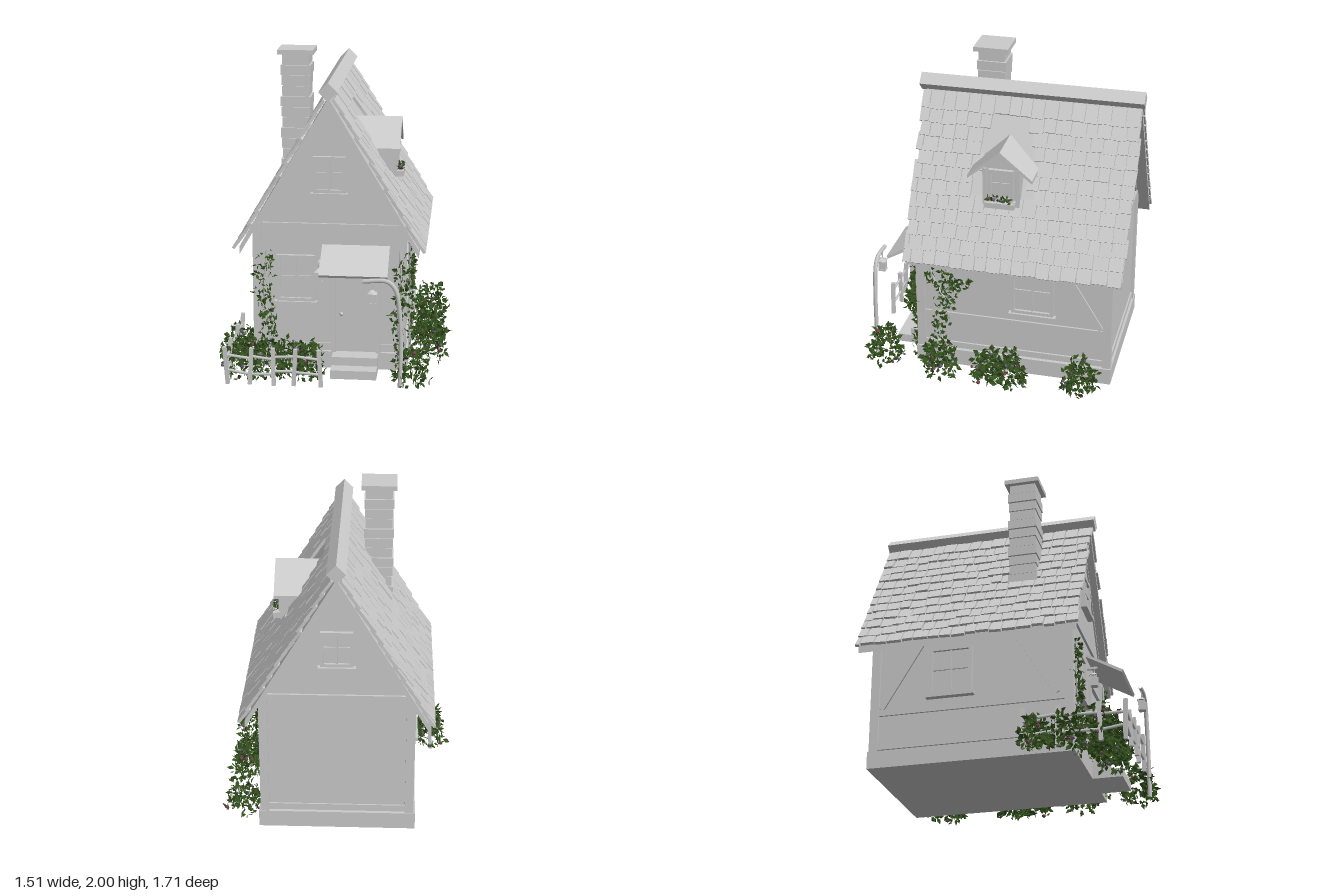
import * as THREE from 'three';
import { mergeGeometries } from 'three/addons/utils/BufferGeometryUtils.js';

const grey = new THREE.MeshStandardMaterial({ color: 0xcccccc });
const leafMat = new THREE.MeshStandardMaterial({ color: 0x35521f, side: THREE.DoubleSide });
const bloomMats = [0x6b5a80, 0x7d4256].map(color => new THREE.MeshStandardMaterial({ color }));

let seed = 7;
const rand = () => (seed = (seed * 16807) % 2147483647) / 2147483647;
const spread = a => (rand() * 2 - 1) * a;

function add(parent, name, geo, x = 0, y = 0, z = 0, mat = grey) {
  const m = new THREE.Mesh(geo, mat);
  m.name = name;
  m.position.set(x, y, z);
  parent.add(m);
  return m;
}
const box = (p, name, w, h, d, x, y, z) => add(p, name, new THREE.BoxGeometry(w, h, d), x, y, z);
function group(parent, name, x = 0, y = 0, z = 0) {
  const g = new THREE.Group();
  g.name = name;
  g.position.set(x, y, z);
  parent.add(g);
  return g;
}
function extrude(points, depth, hole) {
  const s = new THREE.Shape(points.map(p => new THREE.Vector2(...p)));
  if (hole) s.holes.push(new THREE.Path(hole.map(p => new THREE.Vector2(...p))));
  return new THREE.ExtrudeGeometry(s, { depth, bevelEnabled: false });
}
// Inverted V of vertical thickness t, used for roofs and gable trims
const chevron = (half, apex, eave, t, depth) => extrude(
  [[half, eave], [0, apex], [-half, eave], [-half, eave - t], [0, apex - t], [half, eave - t]], depth);
const rect = (w, h) => [[-w / 2, -h / 2], [w / 2, -h / 2], [w / 2, h / 2], [-w / 2, h / 2]];
const tube = (pts, r, n = 20) => new THREE.TubeGeometry(
  new THREE.CatmullRomCurve3(pts.map(p => new THREE.Vector3(...p))), n, r, 6);

function windowUnit(parent, name, w, h, x, y, z, turn = 0) {
  const g = group(parent, name, x, y, z);
  g.rotation.y = turn;
  add(g, 'windowFrame', extrude(rect(w, h), 0.03, rect(w - 0.045, h - 0.045)), 0, 0, -0.005);
  box(g, 'windowPane', w - 0.04, h - 0.04, 0.01, 0, 0, 0.003);
  box(g, 'mullion', 0.012, h - 0.04, 0.014, 0, 0, 0.01);
  box(g, 'glazingBar', w - 0.04, 0.012, 0.014, 0, 0.01, 0.01);
  box(g, 'windowSill', w + 0.03, 0.025, 0.05, 0, -h / 2 - 0.01, 0.015);
}

function lantern(parent, x, y, z) {
  const g = group(parent, 'lantern', x, y, z);
  box(g, 'lanternGlass', 0.034, 0.06, 0.034, 0, 0, 0);
  for (const a of [-1, 1]) for (const b of [-1, 1]) box(g, 'lanternBar', 0.007, 0.064, 0.007, a * 0.018, 0, b * 0.018);
  box(g, 'lanternBase', 0.046, 0.01, 0.046, 0, -0.034, 0);
  add(g, 'lanternCap', new THREE.ConeGeometry(0.04, 0.025, 4).rotateY(Math.PI / 4), 0, 0.044, 0);
  add(g, 'lanternHook', new THREE.CylinderGeometry(0.004, 0.004, 0.05, 6), 0, 0.07, 0);
}

// Small folded leaf, scattered at random angles
const leaf = new THREE.BufferGeometry();
leaf.setAttribute('position', new THREE.Float32BufferAttribute(
  [0, 0, 0, 0.3, 0.45, 0.12, 0, 1, 0, 0, 0, 0, 0, 1, 0, -0.3, 0.45, 0.12], 3));
leaf.computeVertexNormals();
function foliage(parent, name, count, size, sample, blooms = 0) {
  const g = group(parent, name);
  const scatter = (base, n, scale) => mergeGeometries(Array.from({ length: n }, () => {
    const p = sample(), s = scale * (0.7 + rand() * 0.6);
    const q = new THREE.Quaternion().setFromEuler(new THREE.Euler(spread(3.1), spread(3.1), spread(3.1)));
    p.y = Math.max(p.y, s);
    return base.clone().applyMatrix4(new THREE.Matrix4().compose(p, q, new THREE.Vector3(s, s, s)));
  }));
  add(g, 'leaves', scatter(leaf, count, size), 0, 0, 0, leafMat);
  if (blooms) bloomMats.forEach(m => add(g, 'blossoms', scatter(new THREE.IcosahedronGeometry(1, 0), blooms, 0.011), 0, 0, 0, m));
}
function bush(parent, x, z, r, h) {
  foliage(parent, 'bush', 190, 0.042, () => {
    const a = rand() * Math.PI * 2, up = rand(), k = 0.55 + 0.45 * rand(), c = Math.sqrt(1 - up * up * 0.8);
    return new THREE.Vector3(x + Math.cos(a) * r * c * k, 0.02 + h * up * (0.6 + 0.4 * k), z + Math.sin(a) * r * c * k);
  }, 4);
}
function ivy(parent, pts, count, w, thin) {
  const curve = new THREE.CatmullRomCurve3(pts.map(p => new THREE.Vector3(...p)));
  add(parent, 'ivyStem', tube(pts, 0.007));
  foliage(parent, 'ivyLeaves', count, 0.036, () => {
    const p = curve.getPoint(rand()), d = new THREE.Vector3(spread(w), spread(0.03), spread(w));
    d[thin] = rand() * 0.02;
    return p.add(d);
  });
}

function buildWalls(h) {
  box(h, 'foundation', 0.98, 0.11, 1.285, 0, 0.075, -0.135);
  box(h, 'walls', 0.93, 0.83, 1.24, 0, 0.545, -0.135);
  add(h, 'gableWall', extrude([[-0.45, 0.95], [0.45, 0.95], [0, 1.72]], 1.24), 0, 0, -0.755);
  for (const z of [0.475, -0.745]) {
    for (const s of [-1, 1]) box(h, 'cornerPost', 0.055, 0.83, 0.055, s * 0.452, 0.545, z);
    box(h, 'crossBeam', 0.95, 0.035, 0.05, 0, 0.943, z);
    box(h, 'bottomBeam', 0.9, 0.04, 0.04, 0, 0.16, z);
    add(h, 'gableTrim', chevron(0.47, 1.73, 0.93, 0.05, 0.04), 0, 0, z - 0.02);
  }
  // Side timbers, mirrored
  for (const s of [-1, 1]) {
    const x = s * 0.46;
    for (const [y, t] of [[0.16, 0.04], [0.38, 0.04], [0.92, 0.04]]) box(h, 'sideBeam', 0.035, t, 1.2, x, y, -0.135);
    for (const [z, tilt] of [[0.245, -0.545], [-0.55, 0.545]])
      box(h, 'diagonalBrace', 0.033, 0.6, 0.035, x, 0.66, z).rotation.x = tilt;
    windowUnit(h, 'sideWindow', 0.275, 0.31, s * 0.465, 0.62, -0.262, s * Math.PI / 2);
  }
  windowUnit(h, 'frontWindow', 0.24, 0.3, -0.21, 0.605, 0.485);
  windowUnit(h, 'frontGableWindow', 0.2, 0.23, 0, 1.27, 0.485);
  windowUnit(h, 'backGableWindow', 0.2, 0.23, 0, 1.27, -0.755, Math.PI);
}

function buildRoof(h) {
  add(h, 'roofDeck', chevron(0.555, 1.755, 0.815, 0.05, 1.38), 0, 0, -0.84);
  const slope = Math.atan2(0.97, 0.57), tiles = [];
  for (const s of [-1, 1]) for (let row = 0; row < 12; row++) {
    const t = 0.0895 * (row + 1), y = 1.765 - t * Math.sin(slope);
    for (let z = -0.85 + spread(0.01); z < 0.53;) {
      const w = Math.min(0.065 + rand() * 0.035, 0.555 - z), mid = z + w / 2;
      z += w;
      // Leave bare deck around the dormer
      if (s > 0 && row > 0 && row < 7 && Math.abs(mid + 0.035) < (row < 3 ? 0.15 : 0.17)) continue;
      const g = new THREE.BoxGeometry(0.115, 0.018, w - 0.006);
      g.rotateX(spread(0.03)).rotateY(spread(0.04)).rotateZ(-slope + 0.1);
      g.translate(t * Math.cos(slope) + 0.014, y + 0.008 + spread(0.006), mid);
      if (s < 0) g.rotateY(Math.PI).translate(0, 0, -0.295);
      tiles.push(g);
    }
  }
  add(h, 'roofTiles', mergeGeometries(tiles));
  box(h, 'ridgeCap', 0.082, 0.082, 1.43, 0, 1.793, -0.142).rotation.z = Math.PI / 4;
  // Chimney of alternating stone courses
  const c = group(h, 'chimney', -0.235, 0, 0.155);
  for (let i = 0; i < 13; i++) {
    const w = [0.17, 0.188, 0.178][i % 3];
    box(c, 'chimneyCourse', w, 0.06, w, 0, 1.938 - i * 0.066, 0);
  }
  box(c, 'chimneyCore', 0.16, 0.86, 0.16, 0, 1.54, 0);
  box(c, 'chimneyCap', 0.225, 0.03, 0.225, 0, 1.985, 0);
}

function buildDormer(model) {
  const d = group(model, 'dormer', 0, 0, -0.035);
  const facing = g => g.rotateY(Math.PI / 2);
  add(d, 'dormerWalls', facing(extrude([[-0.115, 1.12], [0.115, 1.12], [0.115, 1.41], [0, 1.51], [-0.115, 1.41]], 0.28)), 0.07);
  add(d, 'dormerRoof', facing(chevron(0.205, 1.54, 1.37, 0.022, 0.295)), 0.1);
  for (const s of [-1, 1]) box(d, 'dormerPost', 0.025, 0.26, 0.025, 0.35, 1.28, s * 0.105);
  windowUnit(d, 'dormerWindow', 0.16, 0.21, 0.35, 1.305, 0, Math.PI / 2);
  box(d, 'flowerBox', 0.055, 0.035, 0.19, 0.385, 1.183, 0);
  foliage(d, 'boxFlowers', 50, 0.025, () => new THREE.Vector3(0.385 + spread(0.02), 1.205 + rand() * 0.02, spread(0.08)), 3);
}

function buildEntrance(model) {
  const e = group(model, 'entrance', 0.146, 0, 0);
  add(e, 'doorFrame', extrude([[-0.155, 0.13], [-0.125, 0.13], [-0.125, 0.645], [0.125, 0.645], [0.125, 0.13], [0.155, 0.13], [0.155, 0.68], [-0.155, 0.68]], 0.035), 0, 0, 0.48);
  box(e, 'door', 0.25, 0.52, 0.02, 0, 0.39, 0.485);
  add(e, 'doorKnob', new THREE.SphereGeometry(0.012, 10, 8), -0.09, 0.38, 0.505);
  box(e, 'upperStep', 0.285, 0.11, 0.12, 0, 0.075, 0.545);
  box(e, 'lowerStep', 0.285, 0.055, 0.1, 0, 0.048, 0.645);
  box(e, 'canopy', 0.42, 0.018, 0.264, 0, 0.757, 0.612).rotation.x = 0.514;
  // Bracket lantern and curved lamp post
  box(model, 'lanternBracket', 0.015, 0.015, 0.08, -0.08, 0.72, 0.53);
  lantern(model, -0.08, 0.635, 0.55);
  add(model, 'lampPost', tube([[0.44, 0.02, 0.79], [0.445, 0.25, 0.79], [0.435, 0.5, 0.79], [0.41, 0.64, 0.79], [0.36, 0.692, 0.79], [0.21, 0.69, 0.79]], 0.014, 32));
  lantern(model, 0.27, 0.585, 0.79);
}

function buildFence(model) {
  const f = group(model, 'fence');
  const corner = [-0.622, 0.83];
  const runs = [
    [[-0.045, 0.835], [-0.2, 0.83], [-0.33, 0.835], [-0.47, 0.83], corner],
    [corner, [-0.622, 0.68], [-0.622, 0.43], [-0.622, 0.22]],
  ];
  runs.forEach((run, r) => run.forEach(([x, z], i) => {
    if (r === 0 || i > 0) {
      const p = box(f, 'fencePost', 0.024, 0.24 + spread(0.015), 0.024, x, 0.14, z);
      p.rotation.set(spread(0.05), 0, spread(0.07));
    }
    if (i) for (const y of [0.1, 0.2])
      add(f, 'fenceRail', tube([[run[i - 1][0], y + spread(0.015), run[i - 1][1]], [x, y + spread(0.015), z]], 0.009, 2));
  }));
}

export function createModel() {
  const model = new THREE.Group();
  model.name = 'cottage';
  const house = group(model, 'house', -0.02);
  buildWalls(house);
  buildRoof(house);
  buildDormer(model);
  buildEntrance(model);
  buildFence(model);

  // Planting: x, z, radius, height
  const garden = group(model, 'garden');
  [[-0.53, 0.68, 0.13, 0.25], [-0.39, 0.67, 0.13, 0.26], [-0.25, 0.68, 0.12, 0.24], [-0.13, 0.67, 0.1, 0.23],
    [-0.61, 0.48, 0.11, 0.2], [-0.61, 0.29, 0.11, 0.19], [0.5, 0.71, 0.12, 0.23],
    [0.59, 0.32, 0.12, 0.24], [0.59, 0, 0.11, 0.22], [0.59, -0.14, 0.11, 0.22], [0.58, -0.6, 0.12, 0.22],
  ].forEach(b => bush(garden, ...b));
  ivy(garden, [[-0.4, 0.05, 0.51], [-0.4, 0.3, 0.51], [-0.43, 0.5, 0.51], [-0.41, 0.78, 0.51]], 170, 0.055, 'z');
  ivy(garden, [[0.43, 0.05, 0.51], [0.41, 0.35, 0.51], [0.43, 0.55, 0.51], [0.42, 0.8, 0.51]], 140, 0.035, 'z');
  ivy(garden, [[0.475, 0.05, 0.31], [0.475, 0.35, 0.34], [0.475, 0.55, 0.28], [0.475, 0.8, 0.3]], 120, 0.05, 'x');
  ivy(garden, [[0.475, 0.5, 0.3], [0.475, 0.6, 0.36], [0.475, 0.72, 0.4]], 40, 0.04, 'x');
  ivy(garden, [[0.475, 0.58, 0.28], [0.475, 0.64, 0.22], [0.475, 0.65, 0.15]], 40, 0.035, 'x');
  return model;
}
